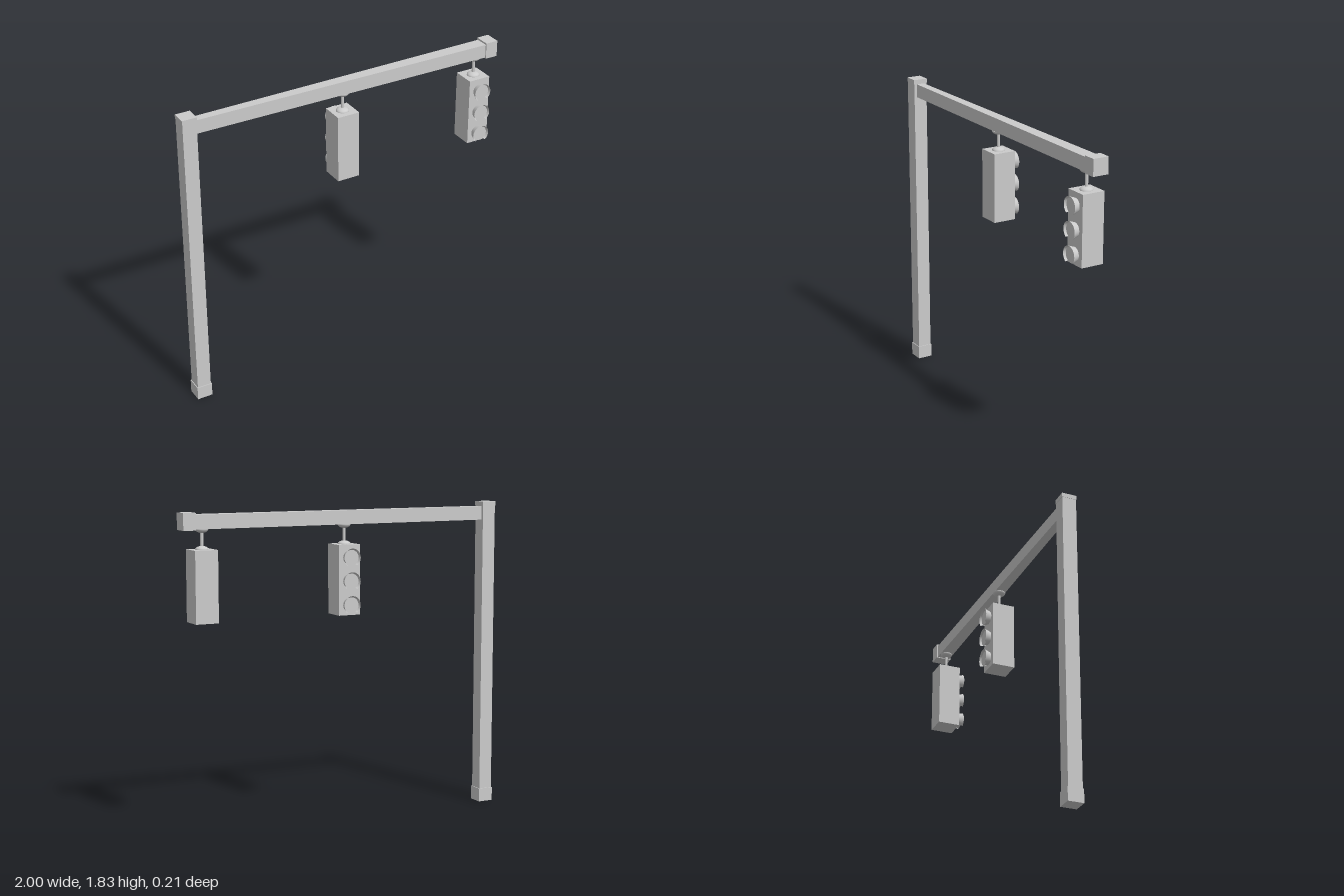
import * as THREE from 'three';

const grey = new THREE.MeshStandardMaterial({ color: 0xcccccc });
const thin = new THREE.MeshStandardMaterial({ color: 0xcccccc, side: THREE.DoubleSide });

function add(parent, name, geometry, x = 0, y = 0, z = 0, material = grey) {
  const mesh = new THREE.Mesh(geometry, material);
  mesh.name = name;
  mesh.position.set(x, y, z);
  parent.add(mesh);
  return mesh;
}

// Box given by its bottom height and top height
function block(parent, name, x, y0, y1, w, d) {
  return add(parent, name, new THREE.BoxGeometry(w, y1 - y0, d), x, (y0 + y1) / 2, 0);
}

// Shallow dome standing on y = 0
function dome(radius, height) {
  const g = new THREE.SphereGeometry(radius, 24, 8, 0, Math.PI * 2, 0, Math.PI / 2);
  g.scale(1, height / radius, 1);
  return g;
}

// Lamp pointing along +z from the housing face, with a hood open at the bottom
function makeLamp() {
  const lamp = new THREE.Group();
  lamp.name = 'lamp';
  const lens = new THREE.CylinderGeometry(0.045, 0.038, 0.026, 32);
  lens.rotateX(Math.PI / 2);
  add(lamp, 'lens', lens, 0, 0, 0.013);
  const gap = 0.62;
  const hood = new THREE.CylinderGeometry(0.053, 0.04, 0.038, 32, 1, true, gap, Math.PI * 2 - gap * 2);
  hood.rotateX(Math.PI / 2);
  add(lamp, 'hood', hood, 0, 0, 0.019, thin);
  return lamp;
}

// Hanging signal: mount, rod, housing and three lamps
function makeSignal(name) {
  const signal = new THREE.Group();
  signal.name = name;
  const mount = add(signal, 'upperMount', dome(0.037, 0.022), 0, 1.717, 0, thin);
  mount.rotation.x = Math.PI;
  add(signal, 'hangerRod', new THREE.CylinderGeometry(0.009, 0.009, 0.11, 16), 0, 1.66, 0);
  add(signal, 'lowerMount', dome(0.037, 0.02), 0, 1.604, 0, thin);
  block(signal, 'housing', 0, 1.2, 1.604, 0.135, 0.135);
  for (const y of [1.531, 1.396, 1.26]) {
    const lamp = makeLamp();
    lamp.position.set(0, y, 0.067);
    signal.add(lamp);
  }
  return signal;
}

export function createModel() {
  const model = new THREE.Group();
  model.name = 'trafficSignalPole';

  // Post with base and cap
  block(model, 'postBase', -0.954, 0, 0.08, 0.092, 0.092);
  block(model, 'post', -0.954, 0.08, 1.8, 0.083, 0.083);
  block(model, 'postCap', -0.954, 1.8, 1.825, 0.087, 0.087);

  // Arm, widening in depth towards the free end
  const arm = new THREE.BoxGeometry(1.86, 0.08, 1);
  const p = arm.attributes.position;
  for (let i = 0; i < p.count; i++) p.setZ(i, Math.sign(p.getZ(i)) * (p.getX(i) < 0 ? 0.024 : 0.04));
  arm.computeVertexNormals();
  add(model, 'arm', arm, 0.01, 1.757, 0);
  block(model, 'armEndCap', 0.9625, 1.712, 1.808, 0.075, 0.094);

  // End signal faces the front, middle signal faces the back
  const endSignal = makeSignal('endSignal');
  endSignal.position.x = 0.874;
  const middleSignal = makeSignal('middleSignal');
  middleSignal.position.x = -0.003;
  middleSignal.rotation.y = Math.PI;
  model.add(endSignal, middleSignal);
  return model;
}
